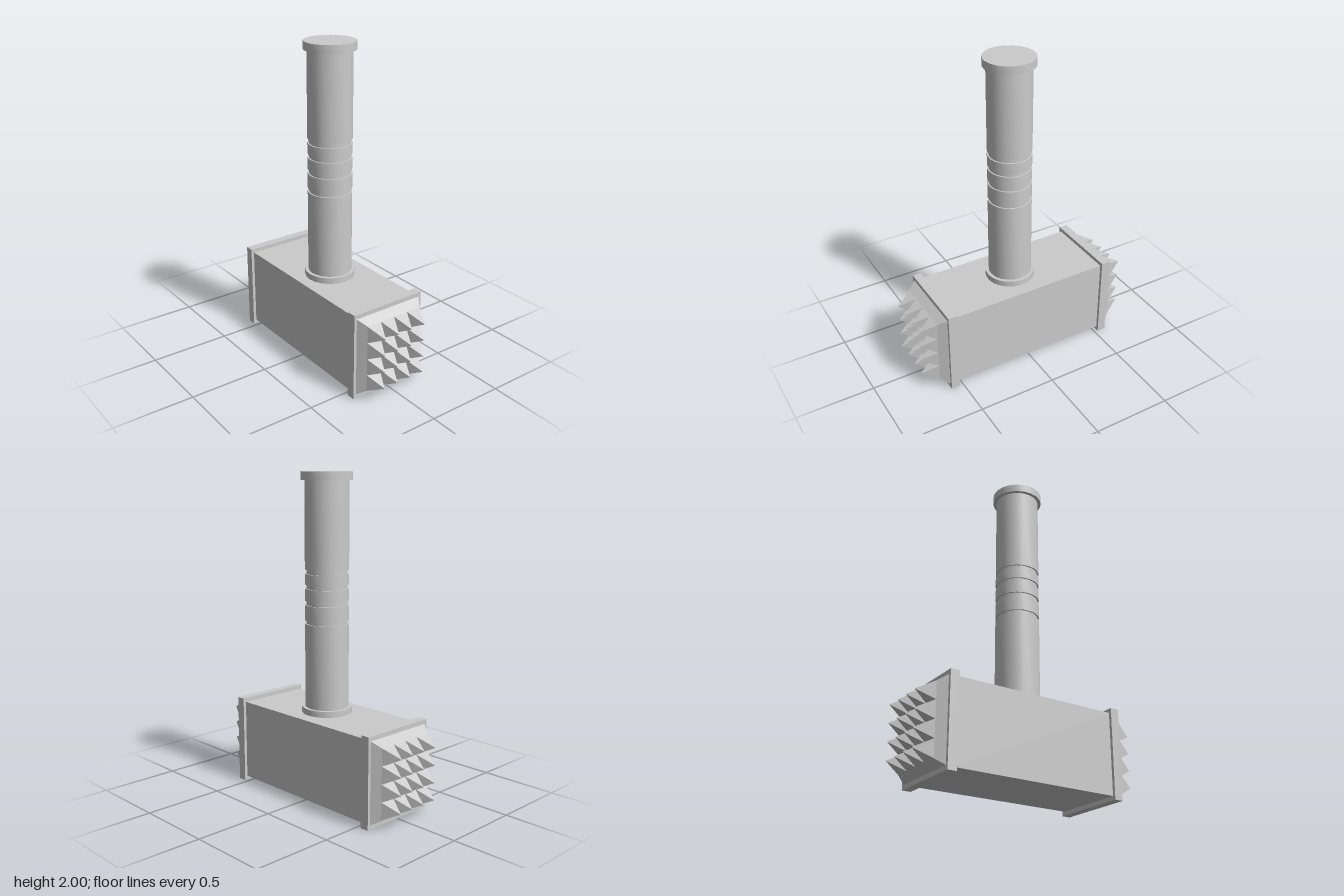
import * as THREE from 'three';
import { toCreasedNormals } from 'three/addons/utils/BufferGeometryUtils.js';

const grey = new THREE.MeshStandardMaterial({ color: 0xcccccc });
const flatGrey = new THREE.MeshStandardMaterial({ color: 0xcccccc, flatShading: true });
const HEAD_Y = 0.28;

function add(parent, name, geometry, material, x = 0, y = 0, z = 0) {
  const mesh = new THREE.Mesh(geometry, material);
  mesh.name = name;
  mesh.position.set(x, y, z);
  parent.add(mesh);
  return mesh;
}

// One striking end, pointing along +x and centred on the head axis
function createStrikingEnd(name) {
  const end = new THREE.Group();
  end.name = name;
  add(end, 'band', new THREE.BoxGeometry(0.055, 0.555, 0.502), flatGrey, 0.5525);

  // Tapered block: a box whose outer face is narrowed
  const taper = new THREE.BoxGeometry(0.052, 0.5, 0.466);
  const p = taper.attributes.position;
  for (let i = 0; i < p.count; i++) {
    if (p.getX(i) > 0) p.setXYZ(i, p.getX(i), Math.sign(p.getY(i)) * 0.214, Math.sign(p.getZ(i)) * 0.196);
  }
  add(end, 'taperedFace', taper, flatGrey, 0.606);

  // 4 x 4 grid of pyramid spikes
  const spike = new THREE.ConeGeometry(Math.SQRT1_2, 0.105, 4);
  spike.rotateY(Math.PI / 4);
  spike.rotateZ(-Math.PI / 2);
  spike.scale(1, 0.107, 0.098);
  for (let row = 0; row < 4; row++) {
    for (let col = 0; col < 4; col++) {
      add(end, 'spike', spike, flatGrey, 0.6845, (row - 1.5) * 0.107, (col - 1.5) * 0.098);
    }
  }
  end.position.y = HEAD_Y;
  return end;
}

// Turned handle with collar, grip grooves and pommel
function createHandle() {
  const collar = 0.156, shaft = 0.135, groove = 0.126;
  const sections = [ // radius, bottom, top
    [collar, 0.52, 0.57], [shaft, 0.57, 1.09],
    [groove, 1.09, 1.11], [shaft, 1.11, 1.205],
    [groove, 1.205, 1.23], [shaft, 1.23, 1.305],
    [groove, 1.305, 1.33], [shaft, 1.33, 1.395],
    [groove, 1.395, 1.42], [shaft, 1.42, 1.95],
    [collar, 1.95, 2],
  ];
  const profile = [new THREE.Vector2(0, 0.52)];
  for (const [r, y0, y1] of sections) profile.push(new THREE.Vector2(r, y0), new THREE.Vector2(r, y1));
  profile.push(new THREE.Vector2(0, 2));
  return toCreasedNormals(new THREE.LatheGeometry(profile, 20), 0.6);
}

export function createModel() {
  const model = new THREE.Group();
  model.name = 'spikedHammer';

  add(model, 'headBlock', new THREE.BoxGeometry(1.08, 0.505, 0.464), flatGrey, 0, HEAD_Y);

  const leftEnd = createStrikingEnd('leftStrikingEnd');
  const rightEnd = createStrikingEnd('rightStrikingEnd');
  rightEnd.rotation.y = Math.PI;
  model.add(leftEnd, rightEnd);

  add(model, 'handle', createHandle(), grey, 0.015, 0, 0.005);
  return model;
}
